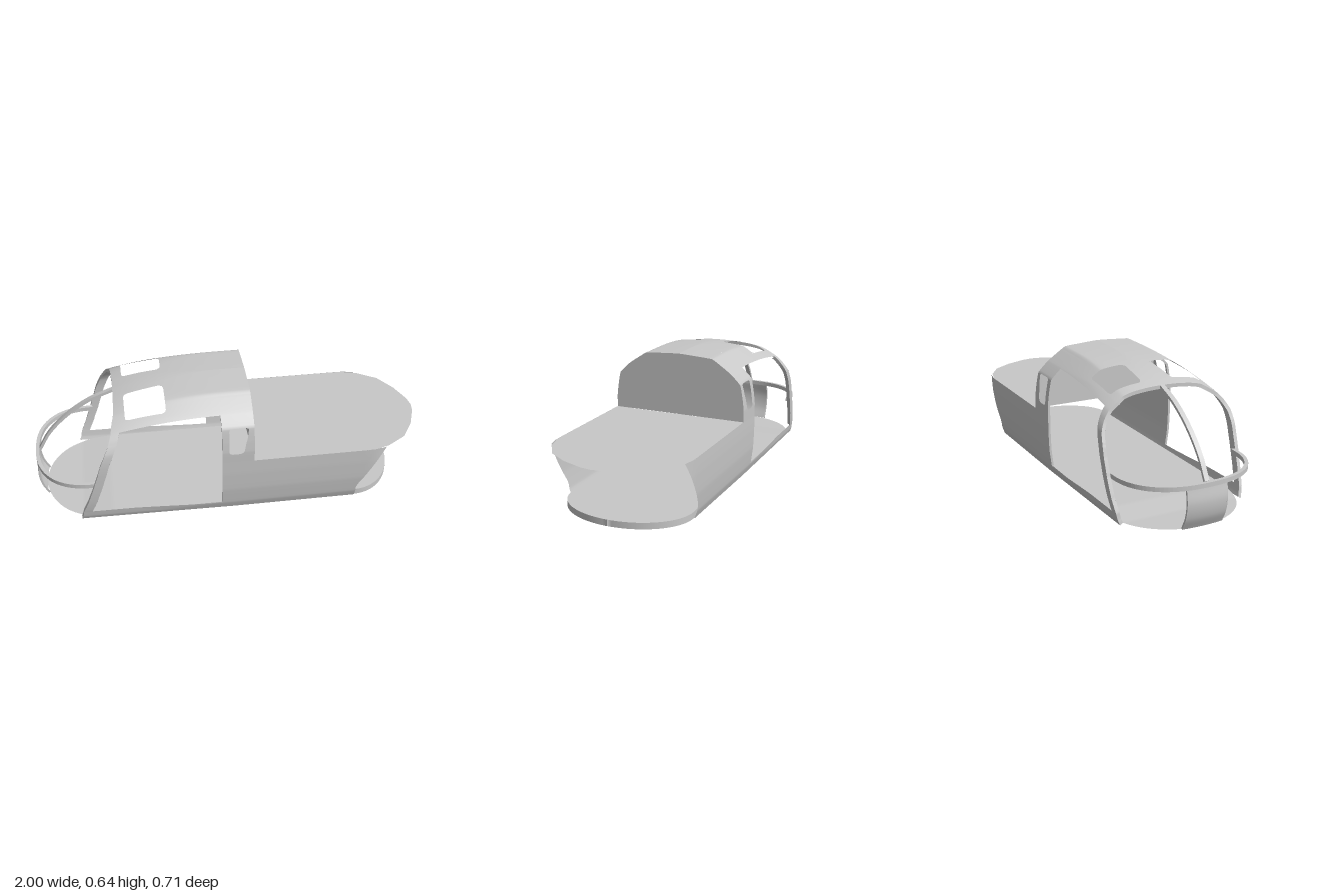
import * as THREE from 'three';
import { ParametricGeometry } from 'three/addons/geometries/ParametricGeometry.js';

const V = (x, y, z = 0) => new THREE.Vector3(x, y, z);
const clamp = THREE.MathUtils.clamp;
const lerp = THREE.MathUtils.lerp;

// Half cross-section of the cabin shell, as (z, y) from sill to roof centre
const PROFILE = [
  [0.327, 0.005], [0.341, 0.047], [0.353, 0.14], [0.357, 0.24], [0.357, 0.32],
  [0.357, 0.38], [0.35, 0.44], [0.336, 0.51], [0.285, 0.561], [0.25, 0.586],
  [0.205, 0.616], [0.18, 0.629], [0.06, 0.637], [0, 0.64],
];
const LAST = PROFILE.length - 1;
const SILL = 1, DECK = 4, WIN_LOW = 4.75, WIN_TOP = 7, DOOR_TOP = 8, SKY_OUT = 9, SKY_IN = 12;
const curve = new THREE.CatmullRomCurve3(PROFILE.map(([z, y]) => V(0, y, z)), false, 'catmullrom', 0.2);
const section = (t) => {
  const p = curve.getPoint(clamp((t > LAST ? 2 * LAST - t : t) / LAST, 0, 1));
  return t > LAST ? p.setZ(-p.z) : p;
};

export function createModel() {
  const model = new THREE.Group();
  const grey = new THREE.MeshStandardMaterial({ color: 0xc8c8c8, side: THREE.DoubleSide });
  grey.name = 'bodyGrey';

  const add = (name, geometry) => {
    const mesh = new THREE.Mesh(geometry, grey);
    mesh.name = name;
    model.add(mesh);
    return mesh;
  };
  const sheet = (name, fn, nu = 20, nv = 20) =>
    add(name, new ParametricGeometry((u, v, p) => p.set(...fn(u, v)), nu, nv));

  // Point on the shell: toward the nose the roof drops and its shoulders get rounder
  const shell = (x, t, side, inset = 0) => {
    const b = Math.min(t, 0.9 * clamp((-0.07 - x) / 0.45, 0, 1));
    const q = section(t).add(section(t - b)).add(section(t + b)).divideScalar(3);
    const k = 1 - 0.225 * Math.min(1.1, (0.09 - Math.min(x, 0.09)) / 0.67) ** 3.2;
    let y = q.y > 0.36 ? 0.36 + (q.y - 0.36) * k : q.y;
    y += 0.013 * clamp(-x / 0.78, 0, 1) * Math.max(0, 1 - q.y / 0.15);
    let z = q.z;
    if (x > 0.68) z *= Math.sqrt(1 - ((x - 0.68) / 0.32) ** 2);
    const d = V(0, y - 0.25, z).normalize();
    return [x, y - inset * d.y, side * (z - inset * d.z)];
  };
  // Shell panel between two profile stations and two x limits
  const panel = (name, t0, t1, xa, xb, inset = 0) => {
    for (const side of [1, -1]) {
      sheet(name + (side > 0 ? 'Left' : 'Right'), (u, v) => {
        const t = lerp(t0, t1, v);
        const at = (e) => (typeof e === 'function' ? e(t, v) : e);
        return shell(lerp(at(xa), at(xb), u), t, side, inset);
      }, 14, 24);
    }
  };
  // Inset that rounds window corners
  const corner = (f, r) => {
    const e = Math.max(0, 1 - Math.min(f, 1 - f) / 0.12);
    return r * (1 - Math.sqrt(Math.max(0, 1 - e * e)));
  };

  const arch = (t) => -0.78 + (0.2 * (section(t).y - 0.02)) / 0.62;
  const pillarBack = (t) => arch(t) + 0.043;
  const POST = -0.07, BACK = 0.09;

  // Door surround
  panel('doorSill', 0, SILL, arch, POST);
  panel('frontPillar', SILL, DOOR_TOP, arch, pillarBack);
  panel('frontPillarLining', SILL, DOOR_TOP, arch, pillarBack, 0.018);

  // Roof around two skylights
  panel('roofEdge', DOOR_TOP, SKY_OUT, arch, POST);
  panel('roofFront', SKY_OUT, SKY_IN, arch, (t, v) => -0.53 + corner(v, 0.02));
  panel('roofRear', SKY_OUT, SKY_IN, (t, v) => -0.33 - corner(v, 0.02), POST);
  panel('roofCentre', SKY_IN, LAST, arch, POST);

  // Rear cabin frame with a small side window
  panel('rearFrameLower', DECK, WIN_LOW, POST, BACK);
  panel('rearFrameFront', WIN_LOW, WIN_TOP, POST, (t, v) => -0.035 + corner(v, 0.015));
  panel('rearFrameBack', WIN_LOW, WIN_TOP, (t, v) => 0.035 + 0.03 * v - corner(v, 0.015), BACK);
  panel('rearFrameRoof', WIN_TOP, LAST, POST, BACK);

  // Hull sides with a raked rear edge
  panel('hullSide', 0, DECK, POST, (t) => 0.63 + 0.14 * clamp((section(t).y - 0.08) / 0.24, 0, 1));

  // Inward flanges give depth to the open edges
  for (const side of [1, -1]) {
    sheet('archFlange', (u, v) => shell(arch(u * LAST), u * LAST, side, 0.018 * v), 60, 1);
    sheet('pillarFlange', (u, v) => {
      const t = lerp(SILL, DOOR_TOP, u);
      return shell(pillarBack(t), t, side, 0.018 * v);
    }, 30, 1);
    sheet('doorPostFlange', (u, v) => shell(POST, lerp(SILL, DOOR_TOP, u), side, 0.012 * v), 30, 1);
  }

  // Bulkhead closing the cabin above the deck
  const half = [];
  for (let i = 0; i <= 36; i++) half.push(section(lerp(DECK, LAST, i / 36)));
  const outline = [
    ...half.map((q) => new THREE.Vector2(-q.z, q.y)),
    ...half.slice(0, -1).reverse().map((q) => new THREE.Vector2(q.z, q.y)),
  ].reverse();
  const bulkhead = new THREE.ShapeGeometry(new THREE.Shape(outline));
  bulkhead.rotateY(Math.PI / 2).translate(BACK, 0, 0);
  add('bulkhead', bulkhead);

  // Rear deck with a rounded tail
  const tail = [[0.69, 0.357], [0.785, 0.332], [0.885, 0.267], [0.95, 0.165], [0.992, 0.055]];
  const deck = new THREE.Shape([
    [BACK, -0.357], ...tail.map(([x, z]) => [x, -z]), [1, 0], ...tail.reverse(), [BACK, 0.357],
  ].map(([x, z]) => new THREE.Vector2(x, z)));
  add('rearDeck', new THREE.ShapeGeometry(deck).rotateX(-Math.PI / 2).translate(0, 0.319, 0));

  // Floor: rounded at both ends, thinning to a sheet at the nose
  const TAIL = 0.87, NOSE = -0.96;
  const floorX = (u, x0 = NOSE) => lerp(x0, TAIL, (1 - Math.cos(Math.PI * u)) / 2);
  const floorW = (x) => {
    const e = x < -0.68 ? (-0.68 - x) / 0.28 : x > 0.63 ? (x - 0.63) / 0.24 : 0;
    return Math.max(0.0005, 0.322 * Math.sqrt(Math.max(0, 1 - e * e)));
  };
  const thick = (x) => clamp((x + 0.78) / 0.16, 0, 1);
  const topY = (x) => lerp(0.0204, 0.036, thick(x));
  const lowY = (x) => lerp(0.02, 0.004 + 0.013 * clamp(-x / 0.78, 0, 1), thick(x));
  const floorFace = (name, h, s) => sheet(name, (u, v) => {
    const x = floorX(u);
    return [x, h(x), s * floorW(x) * (2 * v - 1)];
  }, 80, 2);
  floorFace('floorTop', topY, -1);
  floorFace('floorUnderside', lowY, 1);
  for (const side of [1, -1]) {
    sheet('floorRim', (u, v) => {
      const x = floorX(u, -0.77);
      return [x, lerp(lowY(x), topY(x), v), side * floorW(x)];
    }, 80, 1);
  }

  // Flat bar following a 2D path, extruded sideways
  const bar = (path, width, depth) => {
    const c = new THREE.CatmullRomCurve3(path.map(([a, b]) => V(a, b)));
    const outer = [], inner = [];
    for (let i = 0; i <= 48; i++) {
      const p = c.getPoint(i / 48), d = c.getTangent(i / 48);
      outer.push(new THREE.Vector2(p.x, p.y));
      inner.unshift(new THREE.Vector2(p.x - d.y * width, p.y + d.x * width));
    }
    return new THREE.ExtrudeGeometry(new THREE.Shape([...outer, ...inner]), { depth, bevelEnabled: false });
  };

  // Nose: centre bow, horizontal hoop, front plate and its edge posts
  const bow = [[-0.58, 0.577], [-0.7, 0.528], [-0.82, 0.447], [-0.92, 0.345], [-0.98, 0.244]];
  add('centreBow', bar(bow, 0.014, 0.024).translate(0, 0, -0.012));

  const hoop = [];
  for (let i = 0; i <= 16; i++) {
    const a = Math.PI / 2 - (Math.PI * i) / 16;
    const s = Math.sin(a), c = Math.cos(a);
    hoop.push([-0.7 - 0.298 * Math.abs(c) ** 0.84, 0.338 * Math.sign(s) * Math.abs(s) ** 0.84]);
  }
  add('noseHoop', bar(hoop, 0.018, 0.022).rotateX(Math.PI / 2).translate(0, 0.243, 0));

  const nose = [[-0.99, 0.222], [-0.999, 0.15], [-0.988, 0.08], [-0.96, 0.02]];
  const noseCurve = new THREE.CatmullRomCurve3(nose.map(([a, b]) => V(a, b)));
  sheet('nosePlate', (u, v) => {
    const p = noseCurve.getPoint(v), z = 0.105 * (2 * u - 1);
    return [p.x + 0.6 * z * z, p.y, z];
  }, 12, 20);
  for (const side of [1, -1]) {
    add('nosePost', bar(nose, 0.01, 0.005).translate(0.006, 0, side * 0.103 - 0.0025));
  }
  return model;
}
